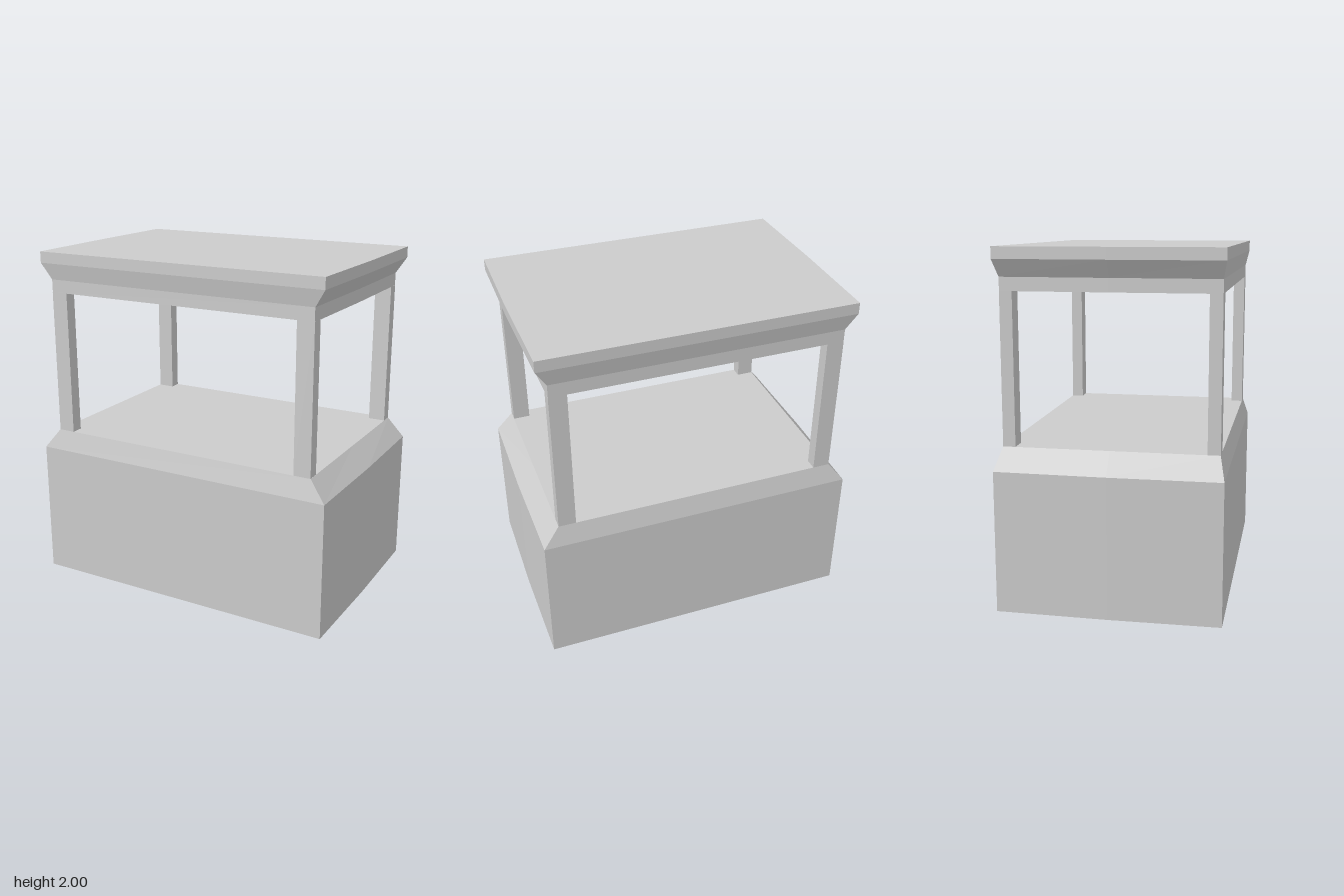
import * as THREE from 'three';

const material = new THREE.MeshStandardMaterial({ color: 0xcccccc, flatShading: true });

// Six-sided plan: flat front and back, side walls bowed out by b at the middle
function ring([y, hx, hz, b]) {
  return [[hx, hz], [hx + b, 0], [hx, -hz], [-hx, -hz], [-hx - b, 0], [-hx, hz]]
    .map(([x, z]) => [x, y, z]);
}

// Closed solid through a stack of levels [y, halfWidth, halfDepth, bow]
function stackedSolid(name, levels) {
  const rings = levels.map(ring);
  const n = rings[0].length;
  const positions = [];
  const tri = (a, b, c) => positions.push(...a, ...b, ...c);
  for (let k = 0; k < rings.length - 1; k++) {
    const lo = rings[k], hi = rings[k + 1];
    for (let i = 0; i < n; i++) {
      const j = (i + 1) % n;
      tri(lo[i], lo[j], hi[j]);
      tri(lo[i], hi[j], hi[i]);
    }
  }
  const bottom = rings[0], top = rings[rings.length - 1];
  for (let i = 1; i < n - 1; i++) {
    tri(top[0], top[i], top[i + 1]);
    tri(bottom[0], bottom[i + 1], bottom[i]);
  }
  const geometry = new THREE.BufferGeometry();
  geometry.setAttribute('position', new THREE.Float32BufferAttribute(positions, 3));
  geometry.computeVertexNormals();
  const mesh = new THREE.Mesh(geometry, material);
  mesh.name = name;
  return mesh;
}

export function createModel() {
  const model = new THREE.Group();
  model.name = 'stall';

  // Counter base with sloped shoulders
  model.add(stackedSolid('counterBase', [
    [0, 0.93, 0.625, 0.008],
    [0.8, 0.93, 0.625, 0.008],
    [0.92, 0.835, 0.595, 0],
  ]));

  // Canopy: beam band, flared cornice and flat roof edge
  model.add(stackedSolid('canopy', [
    [1.765, 0.833, 0.595, 0.006],
    [1.84, 0.833, 0.595, 0.006],
    [1.935, 0.893, 0.615, 0.007],
    [2, 0.893, 0.615, 0.007],
  ]));

  // Four corner posts
  const posts = new THREE.Group();
  posts.name = 'cornerPosts';
  const postGeometry = new THREE.BoxGeometry(0.1, 0.845, 0.07);
  for (const sx of [-1, 1]) {
    for (const sz of [-1, 1]) {
      const post = new THREE.Mesh(postGeometry, material);
      post.name = `${sz > 0 ? 'front' : 'back'}${sx > 0 ? 'Left' : 'Right'}Post`;
      post.position.set(sx * 0.784, 1.3425, sz * 0.56);
      posts.add(post);
    }
  }
  model.add(posts);
  return model;
}
